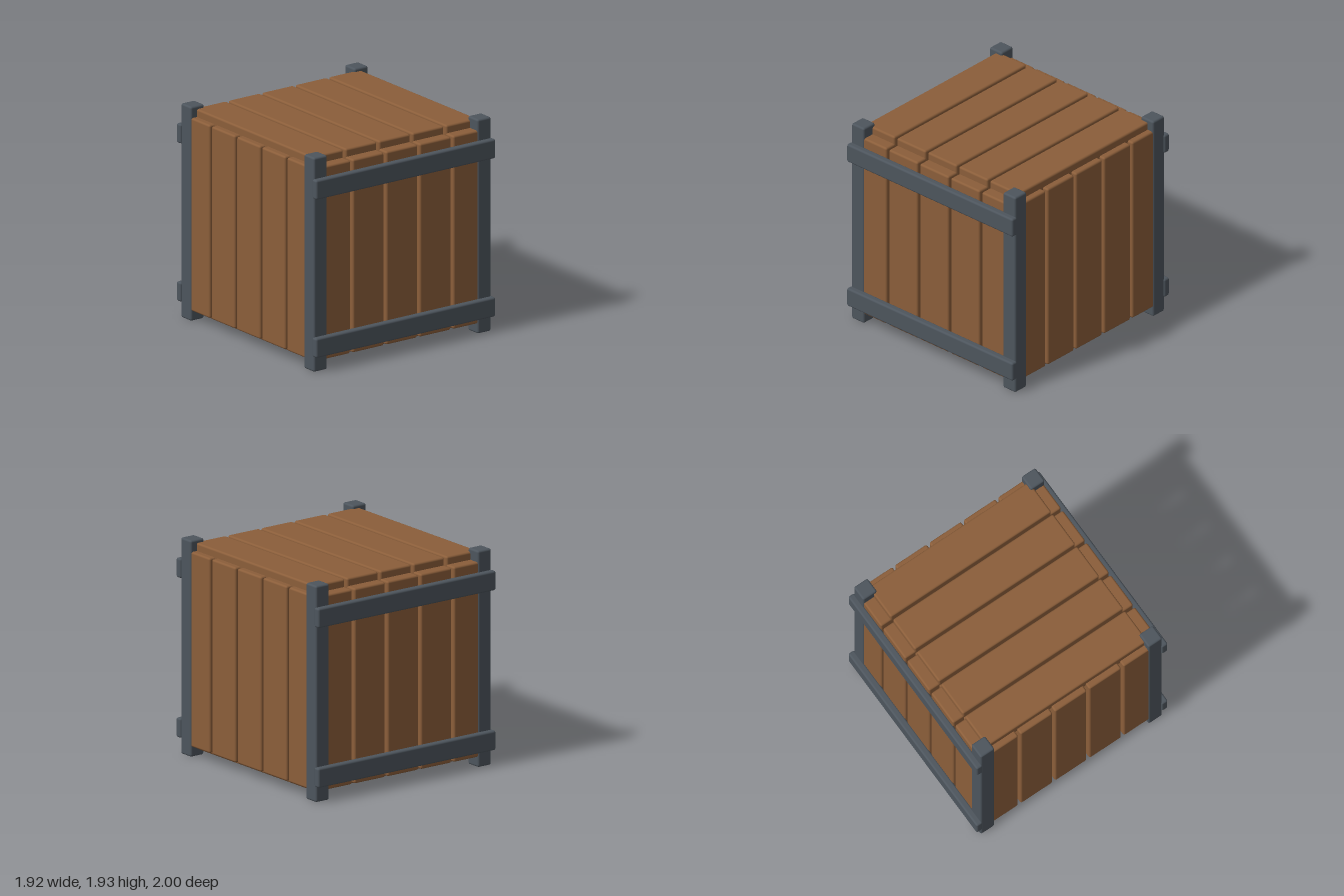
import * as THREE from 'three';
import { RoundedBoxGeometry } from 'three/addons/geometries/RoundedBoxGeometry.js';

export function createModel() {
  const wood = new THREE.MeshStandardMaterial({ color: 0x8b5e3a });
  wood.name = 'brown wood';
  const steel = new THREE.MeshStandardMaterial({ color: 0x4d555d });
  steel.name = 'dark steel';

  const crate = new THREE.Group();
  crate.name = 'crate';

  // Softly bevelled beam, given by its min and max on each axis
  function beam(parent, name, material, [x0, x1], [y0, y1], [z0, z1]) {
    const geometry = new RoundedBoxGeometry(x1 - x0, y1 - y0, z1 - z0, 2, 0.018);
    const mesh = new THREE.Mesh(geometry, material);
    mesh.position.set((x0 + x1) / 2, (y0 + y1) / 2, (z0 + z1) / 2);
    mesh.name = name;
    parent.add(mesh);
  }

  function group(name) {
    const g = new THREE.Group();
    g.name = name;
    crate.add(g);
    return g;
  }

  // Range on one side of the centre plane
  const side = (s, a, b) => (s > 0 ? [a, b] : [-b, -a]);

  const top = group('lid');
  const bottom = group('floor');
  const walls = { front: group('frontWall'), back: group('backWall'), left: group('leftWall'), right: group('rightWall') };

  // Five planks on each of the six faces
  const wallHeight = [0.09, 1.83];
  for (let i = -2; i <= 2; i++) {
    const across = [i * 0.359 - 0.167, i * 0.359 + 0.167];
    beam(top, 'lidPlank', wood, across, [1.775, 1.9], [-0.84, 0.84]);
    beam(bottom, 'floorPlank', wood, across, [0.06, 0.175], [-0.84, 0.84]);
    for (const s of [1, -1]) {
      const depth = side(s, 0.822, 0.942);
      beam(s > 0 ? walls.front : walls.back, 'wallPlank', wood, across, wallHeight, depth);
      beam(s > 0 ? walls.left : walls.right, 'wallPlank', wood, depth, wallHeight, across);
    }
  }

  // Corner posts
  const posts = group('cornerPosts');
  for (const sx of [1, -1]) {
    for (const sz of [1, -1]) {
      beam(posts, 'cornerPost', steel, side(sx, 0.805, 0.95), [0, 1.93], side(sz, 0.805, 0.95));
    }
  }

  // Horizontal straps across front and back
  const straps = group('straps');
  for (const sz of [1, -1]) {
    for (const y of [0.14, 1.566]) {
      beam(straps, 'strap', steel, [-0.962, 0.962], [y, y + 0.175], side(sz, 0.935, 1));
    }
  }

  return crate;
}
